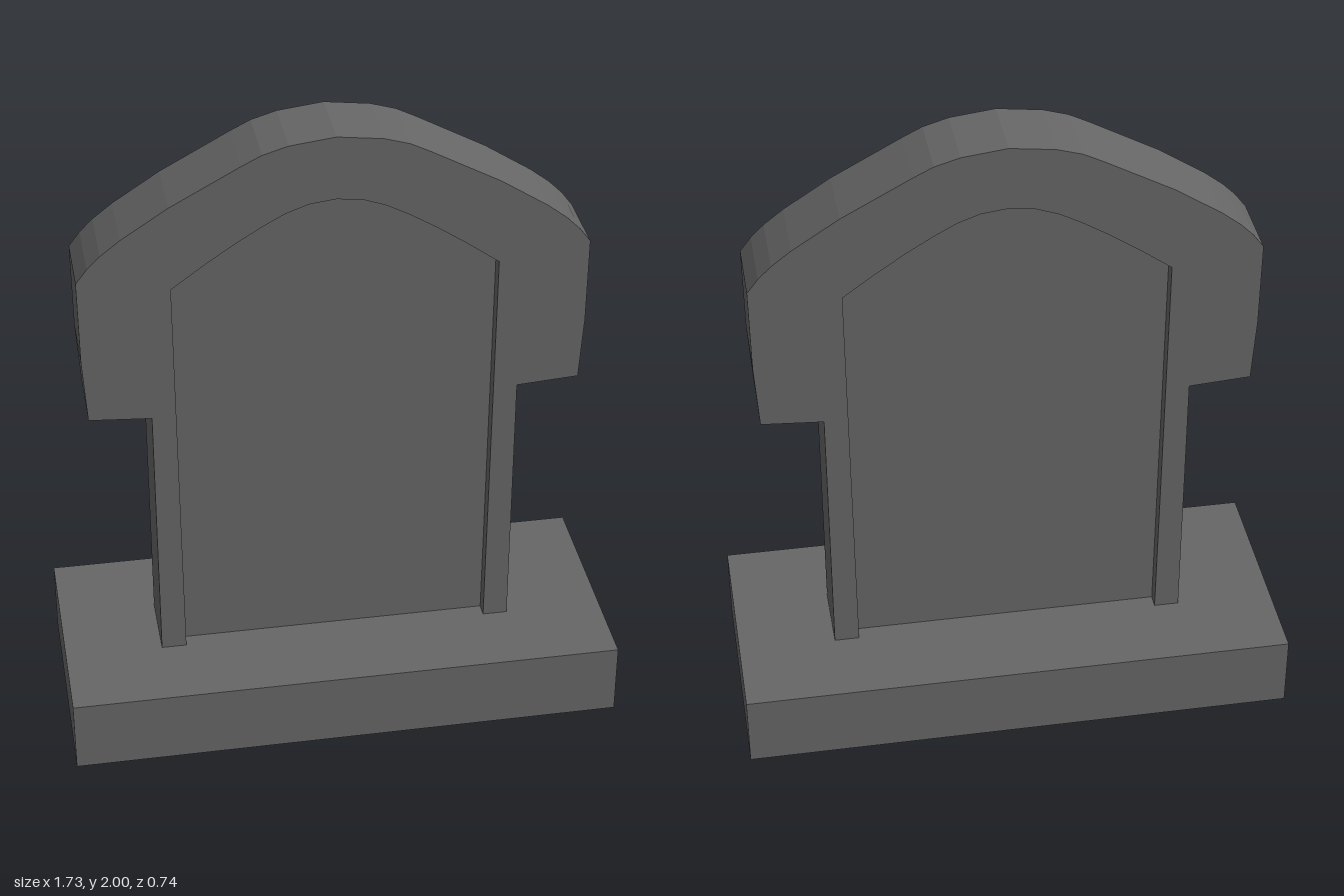
import * as THREE from 'three';

// Half outlines, bottom to apex, mirrored across x = 0
const OUTER = [
  [0.56, 0.2], [0.56, 1.105], [0.75, 1.118], [0.762, 1.32], [0.764, 1.59],
  [0.73, 1.635], [0.69, 1.675], [0.63, 1.722], [0.487, 1.815],
  [0.275, 1.93], [0.215, 1.96], [0.138, 1.983], [0, 2.0],
];
const INNER = [
  [0.482, 0.2], [0.489, 1.545], [0.39, 1.617], [0.3, 1.678], [0.22, 1.727],
  [0.15, 1.765], [0.08, 1.79], [0, 1.8],
];

const mirrored = (half) => [
  ...half,
  ...half.slice(0, -1).reverse().map(([x, y]) => [-x, y]),
].map(([x, y]) => new THREE.Vector2(x, y));

// Extrude an outline, centred on z = 0
function slab(points, depth) {
  const geometry = new THREE.ExtrudeGeometry(new THREE.Shape(points), { depth, bevelEnabled: false });
  return geometry.translate(0, 0, -depth / 2);
}

export function createModel() {
  const group = new THREE.Group();
  const stone = new THREE.MeshStandardMaterial({ color: 0x666666 });
  stone.name = 'darkStone';

  const add = (name, geometry) => {
    const mesh = new THREE.Mesh(geometry, stone);
    mesh.name = name;
    group.add(mesh);
  };

  // Plinth
  add('base', new THREE.BoxGeometry(1.73, 0.235, 0.735).translate(0, 0.1175, 0));

  // Raised surround, open at the bottom
  const outer = mirrored(OUTER);
  const inner = mirrored(INNER);
  add('frame', slab([...outer, ...inner.slice().reverse()], 0.228));

  // Panel recessed on both faces
  add('panel', slab(inner, 0.14));

  return group;
}
